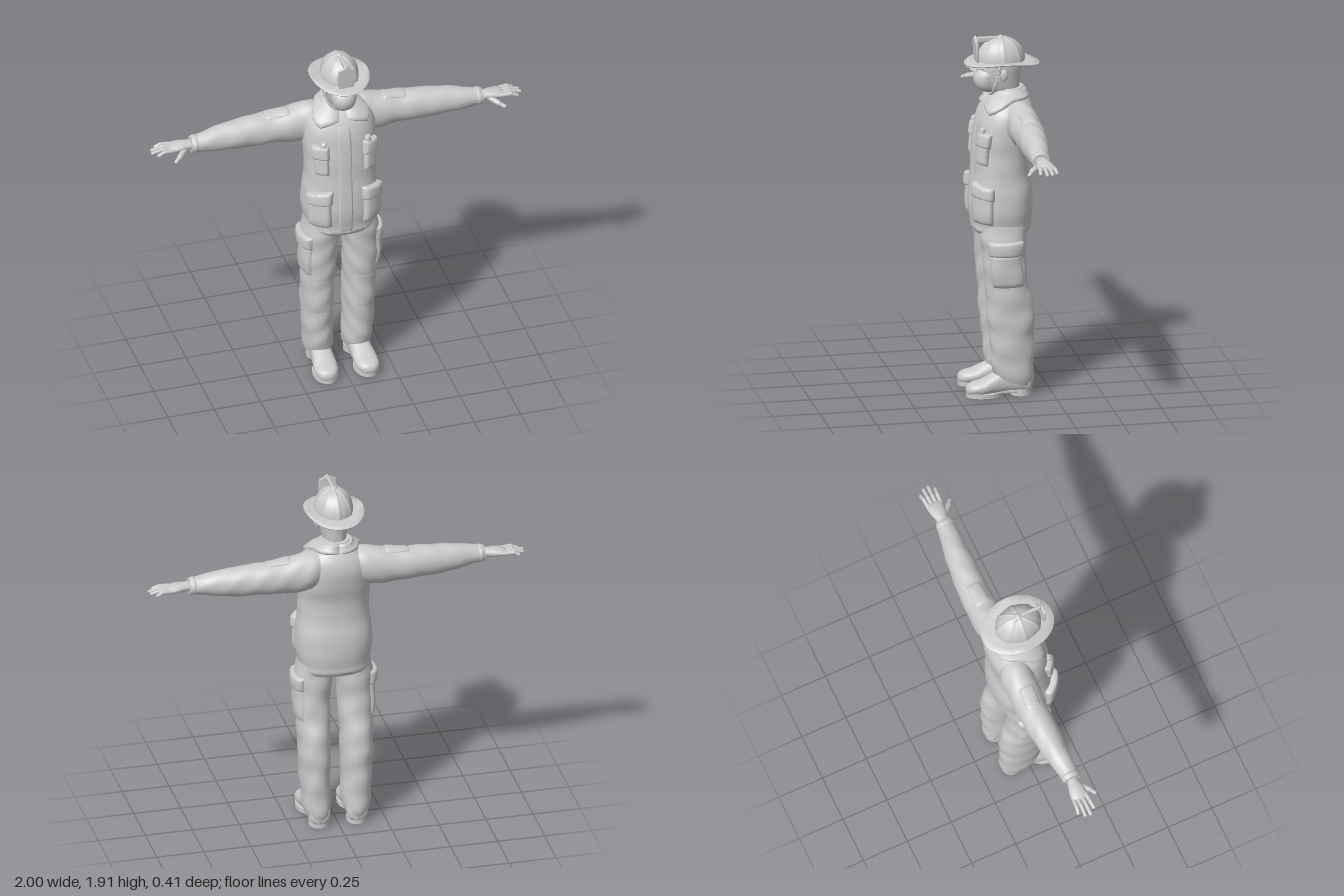
import * as THREE from 'three';
import { toCreasedNormals } from 'three/addons/utils/BufferGeometryUtils.js';
import { RoundedBoxGeometry } from 'three/addons/geometries/RoundedBoxGeometry.js';

const mat = new THREE.MeshStandardMaterial({ color: 0xcccccc, roughness: 0.8, side: THREE.DoubleSide });
const V = (x, y, z) => new THREE.Vector3(x, y, z);

// Grid of (n+1) x (m+1) points, optionally closed with end caps
function gridGeometry(n, m, point, caps) {
  const pos = [], idx = [];
  for (let i = 0; i <= n; i++) for (let j = 0; j <= m; j++) pos.push(...point(i / n, j / m).toArray());
  for (let i = 0; i < n; i++) for (let j = 0; j < m; j++) {
    const a = i * (m + 1) + j, b = a + m + 1;
    idx.push(a, a + 1, b, a + 1, b + 1, b);
  }
  if (caps) for (const i of [0, n]) {
    const c = V(0, 0, 0), row = i * (m + 1), k = pos.length / 3;
    for (let j = 0; j < m; j++) c.add(V(...pos.slice((row + j) * 3, (row + j) * 3 + 3)));
    pos.push(...c.divideScalar(m).toArray());
    for (let j = 0; j < m; j++) idx.push(k, ...(i ? [row + j, row + j + 1] : [row + j + 1, row + j]));
  }
  const g = new THREE.BufferGeometry();
  g.setAttribute('position', new THREE.Float32BufferAttribute(pos, 3));
  g.setIndex(idx);
  return toCreasedNormals(g, 1.0);
}

// Surface through elliptical sections: rows of [h, centreP, centreQ, radiusP, radiusQ]
function surface(rows, place, { e = 1, folds = 0 } = {}) {
  const curve = new THREE.CubicInterpolant(rows.map(r => r[0]), rows.flatMap(r => r.slice(1)), 4, new Float32Array(4));
  const pw = v => Math.sign(v) * Math.abs(v) ** e;
  const h0 = rows[0][0], h1 = rows[rows.length - 1][0];
  const at = (a, h) => {
    const [p, q, rp, rq] = curve.evaluate(THREE.MathUtils.clamp(h, h0, h1));
    const k = 1 + folds * Math.sin(h * 36 + 2 * Math.sin(a + 1)) * Math.sin(a * 2 + h * 9);
    return place(p + rp * k * pw(Math.cos(a)), q + rq * k * pw(Math.sin(a)), h, p);
  };
  const geo = (n = 60, m = 48) => gridGeometry(n, m, (u, v) => at(v * Math.PI * 2, h0 + (h1 - h0) * u), true);
  return { at, geo };
}
const upright = (p, q, h) => V(q, h, p);
const sideways = (p, q, h) => V(h, p, q);
const forward = (p, q, h) => V(p, q, h);

// Raised patch that follows a surface; sharp sets how boxy its edge is
function pad(s, a0, a1, h0, h1, depth, sharp = 10) {
  const val = (f, a) => (typeof f === 'function' ? f(a) : f);
  return gridGeometry(20, 20, (i, j) => {
    const u = Math.sin((j - 0.5) * Math.PI), v = Math.sin((i - 0.5) * Math.PI);
    const a = a0 + (a1 - a0) * (u + 1) / 2, lo = val(h0, a), h = lo + (val(h1, a) - lo) * (v + 1) / 2;
    const p = s.at(a, h), d = 0.004;
    const ta = s.at(a + d, h).sub(s.at(a - d, h)), th = s.at(a, h + d).sub(s.at(a, h - d));
    const lift = depth * (1 - Math.abs(u) ** sharp) * (1 - Math.abs(v) ** sharp) - 0.003;
    return p.addScaledVector(ta.cross(th).normalize(), lift);
  });
}

function mirrored(geo) {
  const g = geo.index ? geo.toNonIndexed() : geo.clone();
  g.scale(-1, 1, 1);
  g.setIndex([...Array(g.attributes.position.count).keys()].map(i => i + [0, 1, -1][i % 3]));
  return g;
}

// Capsule between two points
function capsule(a, b, r) {
  const d = b.clone().sub(a), g = new THREE.CapsuleGeometry(r, d.length(), 6, 12);
  g.applyQuaternion(new THREE.Quaternion().setFromUnitVectors(V(0, 1, 0), d.normalize()));
  return g.translate(...a.clone().add(b).multiplyScalar(0.5).toArray());
}
const ball = (x, y, z, rx, ry, rz) => new THREE.SphereGeometry(1, 24, 16).scale(rx, ry, rz).translate(x, y, z);

export function createModel() {
  const model = new THREE.Group();
  const add = (name, geo) => {
    const mesh = new THREE.Mesh(geo, mat);
    mesh.name = name;
    model.add(mesh);
  };
  const pair = (name, geo) => { add(name + 'Left', geo); add(name + 'Right', mirrored(geo)); };

  // Jacket
  const torso = surface([
    [0.872, 0, 0, 0.14, 0.176], [0.89, 0, 0, 0.152, 0.187], [0.92, 0, 0, 0.153, 0.188], [1.0, 0, 0, 0.162, 0.2],
    [1.1, 0, 0, 0.158, 0.197], [1.2, 0.004, 0, 0.146, 0.187], [1.3, 0, 0, 0.145, 0.185], [1.4, -0.015, 0, 0.15, 0.192],
    [1.48, -0.025, 0, 0.148, 0.188], [1.54, -0.033, 0, 0.13, 0.165], [1.58, -0.04, 0, 0.103, 0.122],
    [1.605, -0.048, 0, 0.08, 0.085], [1.635, -0.05, 0, 0.066, 0.066]], upright, { e: 0.85, folds: 0.008 });
  add('jacket', torso.geo(90, 64));
  add('frontPlacket', pad(torso, -0.2, 0.1, 0.885, 1.54, 0.009));
  add('hemBand', pad(torso, -Math.PI, Math.PI, 0.88, 0.905, 0.005, 4));
  const collarEdge = a => (a < 0.75 ? 1.548 - 0.036 * (a - 0.08) / 0.67 : 1.512 + 0.07 * Math.min(1, (a - 0.75) / 0.9));
  pair('collar', pad(torso, 0.08, Math.PI + 0.02, collarEdge, 1.63, 0.018));
  pair('hipPocket', pad(torso, 0.38, 1.17, 0.935, 1.11, 0.026));
  pair('hipPocketFlap', pad(torso, 0.34, 1.22, a => 1.085 - 0.015 * a, a => 1.17 - 0.03 * a, 0.036));
  pair('chestPocket', pad(torso, 0.46, 0.95, 1.25, 1.37, 0.024));
  pair('chestPocketFlap', pad(torso, 0.42, 0.99, 1.345, 1.425, 0.03));
  pair('chestTab', pad(torso, 0.5, 0.68, 1.4, 1.45, 0.024));

  // Sleeves
  const sleeve = surface([
    [0.05, 1.505, -0.07, 0.07, 0.06], [0.13, 1.485, -0.077, 0.1, 0.085], [0.2, 1.472, -0.082, 0.103, 0.086],
    [0.35, 1.466, -0.085, 0.087, 0.08], [0.5, 1.463, -0.08, 0.082, 0.074], [0.65, 1.46, -0.07, 0.065, 0.06],
    [0.72, 1.458, -0.064, 0.052, 0.052], [0.785, 1.457, -0.06, 0.042, 0.045]], sideways, { folds: 0.03 });
  pair('sleeve', sleeve.geo(80, 40));
  pair('sleevePatch', pad(sleeve, -0.5, 0.6, 0.25, 0.38, 0.008));
  pair('sleeveCuff', pad(sleeve, -Math.PI, Math.PI, 0.75, 0.783, 0.007, 4));

  // Hands
  const palm = surface([
    [0.76, 1.457, -0.06, 0.026, 0.03], [0.8, 1.458, -0.062, 0.025, 0.033], [0.85, 1.458, -0.064, 0.023, 0.044],
    [0.89, 1.455, -0.066, 0.017, 0.044], [0.905, 1.453, -0.066, 0.009, 0.038]], sideways);
  pair('palm', palm.geo(16, 24));
  [[-0.03, -0.022, 0.965], [-0.054, -0.052, 0.99], [-0.078, -0.08, 0.985], [-0.099, -0.108, 0.96]].forEach(([z0, z1, tip], i) => {
    const mid = V(0.935, 1.458, (z0 + z1) / 2);
    pair('fingerBase' + i, capsule(V(0.88, 1.456, z0), mid, 0.0115));
    pair('fingerTip' + i, capsule(mid, V(tip, 1.446, z1), 0.01));
  });
  pair('thumbBase', capsule(V(0.82, 1.448, -0.04), V(0.86, 1.432, 0.003), 0.015));
  pair('thumbTip', capsule(V(0.86, 1.432, 0.003), V(0.885, 1.42, 0.022), 0.011));

  // Trousers, with the hem dropping toward the heel
  const leg = surface([
    [0.075, -0.045, 0.104, 0.098, 0.066], [0.1, -0.045, 0.104, 0.106, 0.072], [0.2, -0.042, 0.108, 0.112, 0.077],
    [0.32, -0.036, 0.111, 0.118, 0.08], [0.43, -0.034, 0.112, 0.124, 0.083], [0.52, -0.024, 0.112, 0.12, 0.085],
    [0.62, -0.008, 0.112, 0.113, 0.088], [0.75, 0.003, 0.11, 0.113, 0.093], [0.85, 0.004, 0.104, 0.118, 0.101],
    [0.95, 0, 0.09, 0.12, 0.095]],
  (p, q, h, c) => V(q, h + (p - c) * 0.3 * Math.max(0, 1 - (h - 0.075) / 0.2), p), { e: 0.93, folds: 0.035 });
  pair('trouserLeg', leg.geo(100, 48));
  pair('thighPocket', pad(leg, 0.74, 2.35, 0.6, 0.79, 0.018));
  pair('thighPocketFlap', pad(leg, 0.7, 2.4, 0.77, 0.85, 0.024));
  pair('kneePatch', pad(leg, -0.7, 0.7, 0.36, 0.58, 0.005));

  // Boots
  const boot = surface([
    [-0.145, 0.1, 0.055, 0.02, 0.028], [-0.135, 0.1, 0.065, 0.045, 0.05], [-0.09, 0.1, 0.08, 0.054, 0.066],
    [0.0, 0.102, 0.08, 0.054, 0.066], [0.06, 0.106, 0.067, 0.058, 0.052], [0.12, 0.109, 0.051, 0.063, 0.038],
    [0.17, 0.111, 0.045, 0.053, 0.031], [0.195, 0.112, 0.041, 0.033, 0.022], [0.203, 0.112, 0.038, 0.014, 0.01]],
  forward, { e: 0.85 });
  pair('boot', boot.geo(50, 32));
  const ankle = surface([[0.06, -0.055, 0.102, 0.078, 0.052], [0.13, -0.05, 0.104, 0.08, 0.055], [0.2, -0.045, 0.105, 0.07, 0.052]], upright);
  pair('bootShaft', ankle.geo(10, 24));
  const slab = (x, z, rx, rz, y, h) => new THREE.CylinderGeometry(1, 1, h, 32).scale(rx, 1, rz).translate(x, y + h / 2, z);
  pair('sole', slab(0.11, 0.11, 0.064, 0.093, 0.003, 0.022));
  pair('soleArch', new RoundedBoxGeometry(0.084, 0.02, 0.19, 2, 0.006).translate(0.103, 0.026, 0));
  pair('heel', slab(0.1, -0.088, 0.052, 0.054, 0, 0.034));

  // Head and neck
  const head = surface([
    [1.54, -0.05, 0, 0.052, 0.058], [1.59, -0.048, 0, 0.056, 0.056], [1.615, -0.022, 0, 0.077, 0.057],
    [1.65, -0.001, 0, 0.1, 0.066], [1.7, 0.004, 0, 0.109, 0.075], [1.76, -0.003, 0, 0.112, 0.081],
    [1.82, -0.005, 0, 0.1, 0.075], [1.86, -0.005, 0, 0.06, 0.05]], upright, { e: 0.95 });
  add('head', head.geo(60, 48));
  add('faceMask', pad(head, -1.05, 1.05, a => 1.606 + 0.025 * a * a, a => 1.738 - 0.012 * a * a, 0.034, 2.5));
  add('nose', ball(0, 1.737, 0.113, 0.012, 0.022, 0.016));
  pair('eye', ball(0.03, 1.745, 0.1, 0.014, 0.008, 0.008));
  pair('brow', capsule(V(0.014, 1.76, 0.108), V(0.046, 1.762, 0.096), 0.006));
  pair('ear', ball(0.082, 1.715, -0.005, 0.012, 0.032, 0.02));
  const strap = new THREE.CatmullRomCurve3([V(0.09, 1.775, 0.02), V(0.088, 1.71, 0.028), V(0.074, 1.65, 0.045), V(0.045, 1.612, 0.055), V(0, 1.6, 0.06)]);
  pair('chinStrap', new THREE.TubeGeometry(strap, 32, 0.007, 8));
  pair('strapBuckle', new RoundedBoxGeometry(0.014, 0.035, 0.025, 2, 0.004).translate(0.088, 1.7, 0.03));
  pair('maskLoop', new THREE.TubeGeometry(new THREE.CatmullRomCurve3([V(0.065, 1.71, 0.065), V(0.082, 1.735, 0.02), V(0.085, 1.745, -0.015)]), 16, 0.003, 6));

  // Helmet shell: eight panels divided by raised ribs
  const dome = new THREE.SphereGeometry(1, 128, 24, 0, Math.PI * 2, 0, Math.PI / 2);
  const pos = dome.attributes.position;
  for (let i = 0; i < pos.count; i++) {
    const x = pos.getX(i), y = pos.getY(i), z = pos.getZ(i);
    const k = 1 + 0.045 * Math.abs(Math.cos(4 * Math.atan2(z, x))) ** 10 * Math.min(1, 4 * Math.hypot(x, z));
    pos.setXYZ(i, x * 0.099 * k, 1.775 + y * 0.127 * (1 + (k - 1) * 0.5), z * 0.123 * k - 0.002);
  }
  dome.computeVertexNormals();
  add('helmetShell', dome);

  // Brim: thin closed ring, lifted at the sides and drooping at the back
  const section = [[0.6, 0.008], [0.8, 0.004], [0.98, 0], [1, -0.004], [0.98, -0.008], [0.8, -0.005], [0.6, -0.002], [0.6, 0.008]];
  const brim = new THREE.LatheGeometry(section.reverse().map(p => new THREE.Vector2(...p)), 64);
  const bp = brim.attributes.position;
  for (let i = 0; i < bp.count; i++) {
    const x = bp.getX(i), z = bp.getZ(i);
    bp.setXYZ(i, x * 0.155, 1.772 + bp.getY(i) + 0.022 * x * x * Math.abs(x) - 0.008 * Math.max(0, -z), z * 0.197 - 0.007);
  }
  add('helmetBrim', toCreasedNormals(brim, 0.9));
  pair('brimRing', new THREE.TorusGeometry(0.012, 0.003, 8, 20).translate(0.122, 1.765, 0.03));

  // Front shield and its holder
  const plate = new THREE.Shape();
  plate.moveTo(-0.036, 0);
  plate.lineTo(0.036, 0);
  plate.quadraticCurveTo(0.05, 0.06, 0.04, 0.105);
  plate.quadraticCurveTo(0.02, 0.108, 0, 0.128);
  plate.quadraticCurveTo(-0.02, 0.108, -0.04, 0.105);
  plate.quadraticCurveTo(-0.05, 0.06, -0.036, 0);
  const shield = new THREE.ExtrudeGeometry(plate, { depth: 0.008, bevelSize: 0.003, bevelThickness: 0.003, bevelSegments: 2, curveSegments: 10 });
  add('helmetShield', shield.rotateX(0.05).translate(0, 1.782, 0.122));
  add('shieldHolder', new RoundedBoxGeometry(0.018, 0.028, 0.11, 2, 0.005).translate(0, 1.892, 0.07));
  add('crownButton', ball(0, 1.9, -0.002, 0.018, 0.01, 0.018));
  return model;
}
